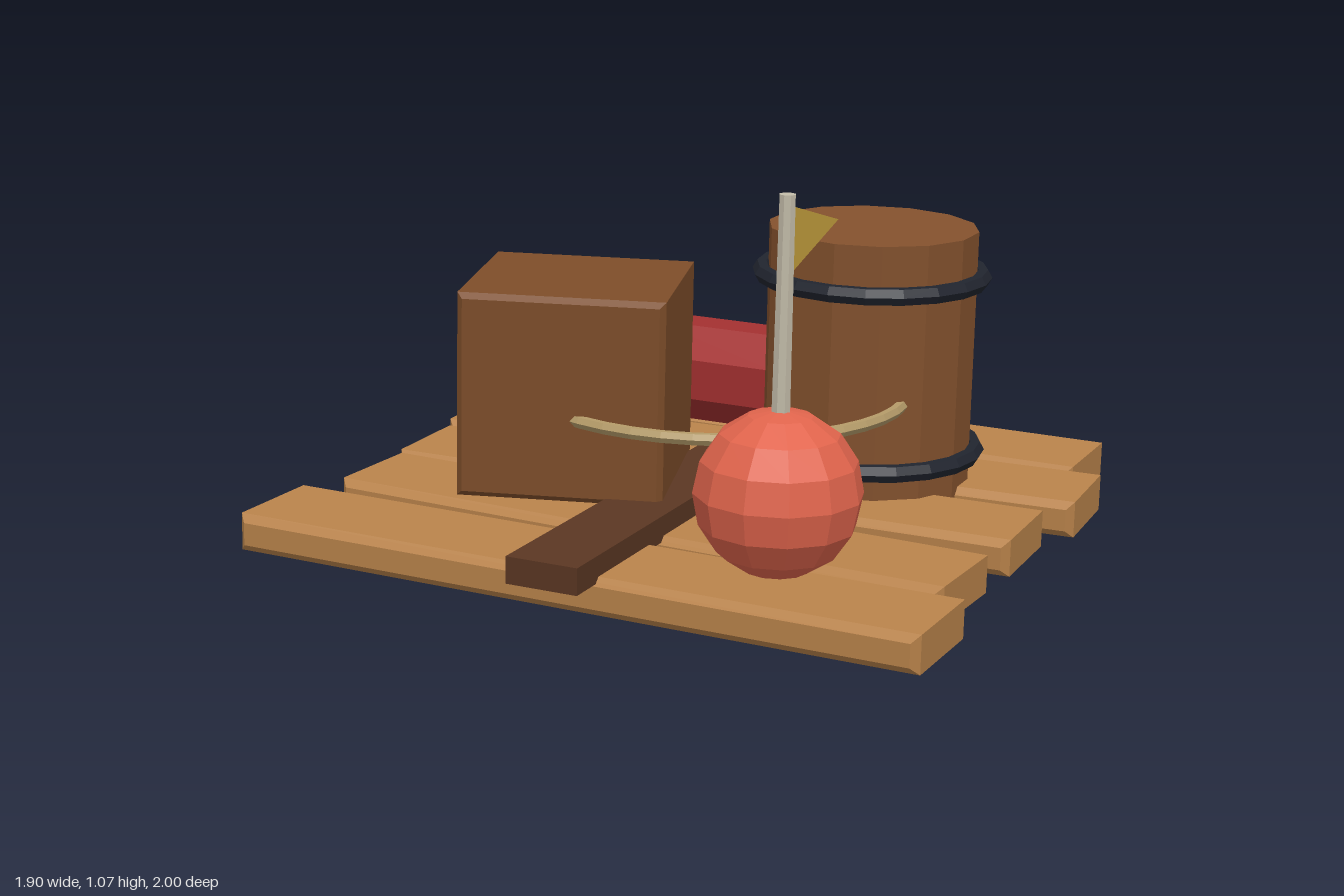
import * as THREE from 'three';

const mat = (name, color, extra = {}) => {
  const m = new THREE.MeshStandardMaterial({ color, flatShading: true, ...extra });
  m.name = name;
  return m;
};

// Box with a one-step chamfer on every edge, centred on its origin
function chamferBox(w, h, d, c) {
  const x = w / 2 - c, y = h / 2 - c;
  const shape = new THREE.Shape([
    new THREE.Vector2(-x, -y), new THREE.Vector2(x, -y),
    new THREE.Vector2(x, y), new THREE.Vector2(-x, y),
  ]);
  const geo = new THREE.ExtrudeGeometry(shape, {
    depth: d - 2 * c, bevelEnabled: true, bevelSize: c, bevelThickness: c, bevelSegments: 1,
  });
  return geo.translate(0, 0, -d / 2 + c);
}

export function createModel() {
  const plankWood = mat('plankWood', 0xb8824a);
  const beamWood = mat('beamWood', 0x5a3622);
  const crateWood = mat('crateWood', 0x7d4d29);
  const barrelWood = mat('barrelWood', 0x83512d);
  const hoopIron = mat('hoopIron', 0x20242e);
  const canRed = mat('canRed', 0xa23030);
  const buoyCoral = mat('buoyCoral', 0xe0644c);
  const mastGrey = mat('mastGrey', 0xc2bba8);
  const flagYellow = mat('flagYellow', 0xcaa540);
  const ropeTan = mat('ropeTan', 0xb39a68);

  // The whole raft lists: front and left side dip
  const raft = new THREE.Group();
  raft.name = 'raft';
  raft.position.y = 0.138;
  raft.rotation.set(0.04, 0, -0.045);

  const add = (name, geo, material, x, y, z, parent = raft) => {
    const mesh = new THREE.Mesh(geo, material);
    mesh.name = name;
    mesh.position.set(x, y, z);
    parent.add(mesh);
    return mesh;
  };

  // Deck planks: z, length, yaw
  [
    [-0.755, 1.68, 0],
    [-0.385, 1.88, 0.048],
    [-0.01, 1.79, 0.02],
    [0.365, 1.76, -0.048],
    [0.74, 1.89, -0.02],
  ].forEach(([z, length, yaw], i) => {
    add('deckPlank' + (i + 1), chamferBox(length, 0.1, 0.325, 0.02), plankWood, 0, 0, z).rotation.y = yaw;
  });

  // Cross beam
  add('crossBeam', new THREE.BoxGeometry(0.195, 0.07, 2), beamWood, 0, 0.07, 0);

  // Crate
  add('crate', chamferBox(0.545, 0.545, 0.545, 0.015), crateWood, -0.295, 0.36, 0.235).rotation.y = 0.295;

  // Barrel with two hoops
  const barrel = new THREE.Group();
  barrel.name = 'barrel';
  barrel.position.set(0.335, 0, -0.29);
  raft.add(barrel);
  add('barrelBody', new THREE.CylinderGeometry(0.288, 0.288, 0.72, 14), barrelWood, 0, 0.385, 0, barrel);
  for (const y of [0.13, 0.615]) {
    const hoop = new THREE.TorusGeometry(0.303, 0.025, 6, 20).rotateX(Math.PI / 2);
    add('barrelHoop', hoop, hoopIron, 0, y, 0, barrel);
  }

  // Canister lying on its side
  const canister = new THREE.CylinderGeometry(0.15, 0.15, 0.42, 8)
    .rotateY(Math.PI / 8).rotateZ(Math.PI / 2);
  add('canister', canister, canRed, -0.17, 0.232, -0.465);

  // Rope ring
  add('ropeRing', new THREE.TorusGeometry(0.517, 0.017, 6, 40).rotateX(Math.PI / 2), ropeTan, 0, 0.308, -0.01);

  // Buoy with mast and pennant
  const buoy = new THREE.Group();
  buoy.name = 'buoy';
  buoy.position.set(0.455, 0.246, 0.62);
  raft.add(buoy);
  add('buoyFloat', new THREE.SphereGeometry(0.213, 12, 8), buoyCoral, 0, 0, 0, buoy);
  add('buoyMast', new THREE.CylinderGeometry(0.021, 0.025, 0.6, 8), mastGrey, 0, 0.445, 0, buoy);
  const pennant = new THREE.Shape([
    new THREE.Vector2(0, -0.088), new THREE.Vector2(0.32, 0), new THREE.Vector2(0, 0.088),
  ]);
  const pennantGeo = new THREE.ExtrudeGeometry(pennant, { depth: 0.014, bevelEnabled: false })
    .translate(0, 0, -0.007).rotateY(Math.PI / 2);
  add('pennant', pennantGeo, flagYellow, 0, 0.63, 0, buoy);

  const model = new THREE.Group();
  model.name = 'loadedRaft';
  model.add(raft);
  return model;
}
